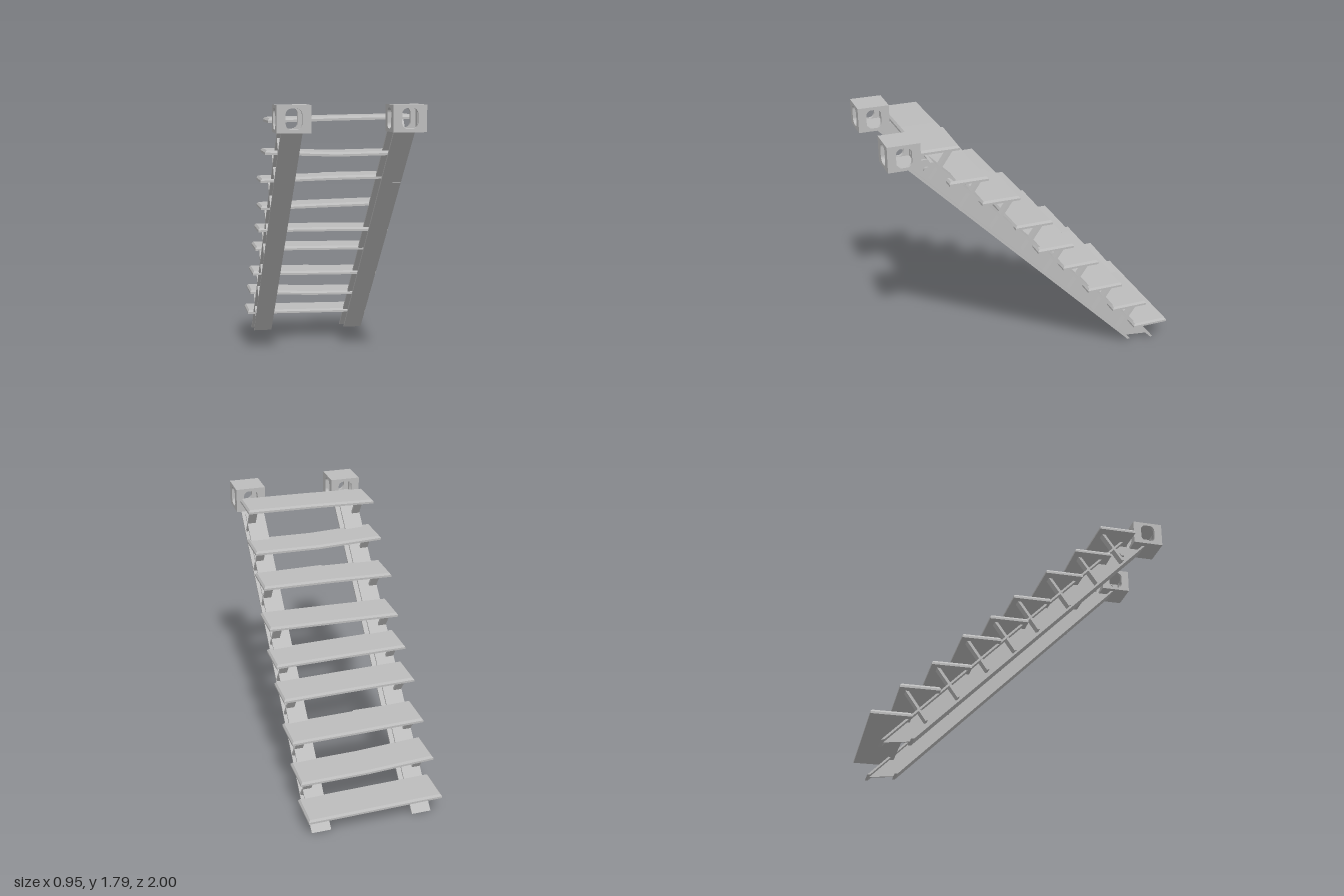
import * as THREE from 'three';

const steel = new THREE.MeshStandardMaterial({ color: 0xbcbcbc });
steel.name = 'steel grey';
const sheetSteel = steel;

function add(parent, geometry, name, x = 0, y = 0, z = 0) {
  const mesh = new THREE.Mesh(geometry, steel);
  mesh.name = name;
  mesh.position.set(x, y, z);
  parent.add(mesh);
  return mesh;
}

// Side profile given as [z, y] points, extruded along x and centred on x = 0
function sidePlate(points, width) {
  const shape = new THREE.Shape(points.map(([z, y]) => new THREE.Vector2(z, y)));
  const geo = new THREE.ExtrudeGeometry(shape, { depth: width, bevelEnabled: false });
  return geo.translate(0, 0, -width / 2).rotateY(-Math.PI / 2);
}

// Sloping I-beam: two flanges and a web
function makeStringer(x, outer) {
  const g = new THREE.Group();
  g.name = 'stringer';
  g.position.x = x;
  const strip = (a, b) => {
    const at = (p, q, t) => [p[0] + (q[0] - p[0]) * t, p[1] + (q[1] - p[1]) * t];
    const topF = [0.885, 1.625], topB = [0.70, 1.632], botF = [-0.715, 0.024], botB = [-0.92, 0];
    return [at(topF, topB, a), at(topF, topB, b), at(botF, botB, b), at(botF, botB, a)];
  };
  add(g, sidePlate(strip(0, 0.1), 0.133), 'lowerFlange');
  add(g, sidePlate(strip(0.9, 1), 0.133), 'upperFlange');
  add(g, sidePlate(strip(0.1, 0.9), 0.016), 'web');
  const bolt = new THREE.CylinderGeometry(0.022, 0.022, 0.02, 6).rotateZ(Math.PI / 2);
  add(g, bolt, 'bolt', outer * 0.016, 1.565, 0.73);
  return g;
}

// Hollow corner block with a rounded opening in each of its four sides
function makeCornerBlock(x) {
  const W = 0.21, H = 0.167, T = 0.022, hw = 0.05, hh = 0.063, r = 0.035;
  const g = new THREE.Group();
  g.name = 'cornerBlock';
  g.position.set(x, 1.705, 0.895);
  const wall = (w) => {
    const s = new THREE.Shape([[-w / 2, -H / 2], [w / 2, -H / 2], [w / 2, H / 2], [-w / 2, H / 2]]
      .map(p => new THREE.Vector2(...p)));
    const h = new THREE.Path();
    h.absarc(hw - r, hh - r, r, 0, Math.PI / 2);
    h.absarc(-hw + r, hh - r, r, Math.PI / 2, Math.PI);
    h.absarc(-hw + r, -hh + r, r, Math.PI, Math.PI * 1.5);
    h.absarc(hw - r, -hh + r, r, Math.PI * 1.5, Math.PI * 2);
    s.holes.push(h);
    return new THREE.ExtrudeGeometry(s, { depth: T, bevelEnabled: false, curveSegments: 5 })
      .translate(0, 0, W / 2 - T);
  };
  for (let i = 0; i < 4; i++) {
    add(g, wall(i % 2 ? W - 2 * T : W).rotateY(i * Math.PI / 2), 'blockWall');
  }
  for (const s of [-1, 1]) {
    add(g, new THREE.BoxGeometry(W - 2 * T, 0.018, W - 2 * T), 'blockPlate', 0, s * (H / 2 - 0.009), 0);
  }
  return g;
}

// Slightly bent step with a chamfered top edge
function makeTread(x0, x1, zc, yl, ym, yr) {
  const w = x1 - x0, h = 0.028, d = 0.26, inset = 0.011;
  const geo = new THREE.BoxGeometry(w, h, d, 2, 2, 1);
  const p = geo.attributes.position;
  for (let i = 0; i < p.count; i++) {
    let x = p.getX(i), y = p.getY(i), z = p.getZ(i);
    const bend = x < -0.1 ? yl : x > 0.1 ? yr : ym;
    if (y > 0.01) {
      x -= Math.abs(x) > 0.1 ? Math.sign(x) * inset : 0;
      z -= Math.sign(z) * inset;
    }
    p.setXYZ(i, x, y + bend, z);
  }
  const flat = geo.toNonIndexed();
  flat.computeVertexNormals();
  return { geo: flat, x: (x0 + x1) / 2, z: zc };
}

// Loose thin sheet lying on a step
function makeSheet(corners) {
  const geo = new THREE.BufferGeometry();
  geo.setAttribute('position', new THREE.Float32BufferAttribute(corners.flat(), 3));
  geo.setIndex([0, 1, 2, 0, 2, 3, 2, 1, 0, 3, 2, 0].slice(0, 6));
  const flat = geo.toNonIndexed();
  flat.computeVertexNormals();
  return flat;
}

export function createModel() {
  const model = new THREE.Group();
  model.name = 'staircase';
  const sides = [[-0.34, -1], [0.362, 1]];

  for (const [x, outer] of sides) {
    model.add(makeStringer(x, outer));
    model.add(makeCornerBlock(x + outer * 0.004));
  }

  // Steps: left x, right x, centre z, then height at the -x end, middle and +x end
  const treads = [
    [-0.475, 0.445, 0.66, 1.690, 1.702, 1.708],
    [-0.47, 0.447, 0.475, 1.482, 1.465, 1.472],
    [-0.475, 0.447, 0.26, 1.283, 1.295, 1.300],
    [-0.45, 0.47, 0.04, 1.077, 1.088, 1.097],
    [-0.45, 0.47, -0.12, 0.904, 0.900, 0.893],
    [-0.45, 0.47, -0.305, 0.745, 0.739, 0.731],
    [-0.45, 0.47, -0.497, 0.533, 0.523, 0.516],
    [-0.45, 0.47, -0.695, 0.355, 0.331, 0.325],
    [-0.45, 0.47, -0.87, 0.163, 0.156, 0.149],
  ];
  treads.forEach((t, i) => {
    const { geo, x, z } = makeTread(...t);
    add(model, geo, 'tread', x, 0, z);
    if (i === treads.length - 1) return;
    // Diagonal brackets on the outer side of each beam
    for (const [sx, outer] of sides) {
      const y = outer < 0 ? t[3] : t[5];
      const bar = [[0.062, -0.2], [0.046, -0.208], [-0.092, -0.012], [-0.074, -0.006]];
      add(model, sidePlate(bar.map(([a, b]) => [z + a, y + b]), 0.055),
        'bracket', sx + outer * 0.036, 0, 0);
    }
  });

  // Peeled sheets on two steps
  const sheets = [
    [[-0.03, 1.318, 0.37], [0.42, 1.317, 0.37], [0.42, 1.316, 0.15], [-0.045, 1.318, 0.2]],
    [[-0.43, 0.549, -0.39], [-0.025, 0.553, -0.39], [-0.01, 0.553, -0.55], [-0.43, 0.549, -0.61]],
  ];
  const sheetMaterial = sheetSteel;
  sheetMaterial.side = THREE.DoubleSide;
  for (const s of sheets) add(model, makeSheet(s), 'looseSheet');
  return model;
}
